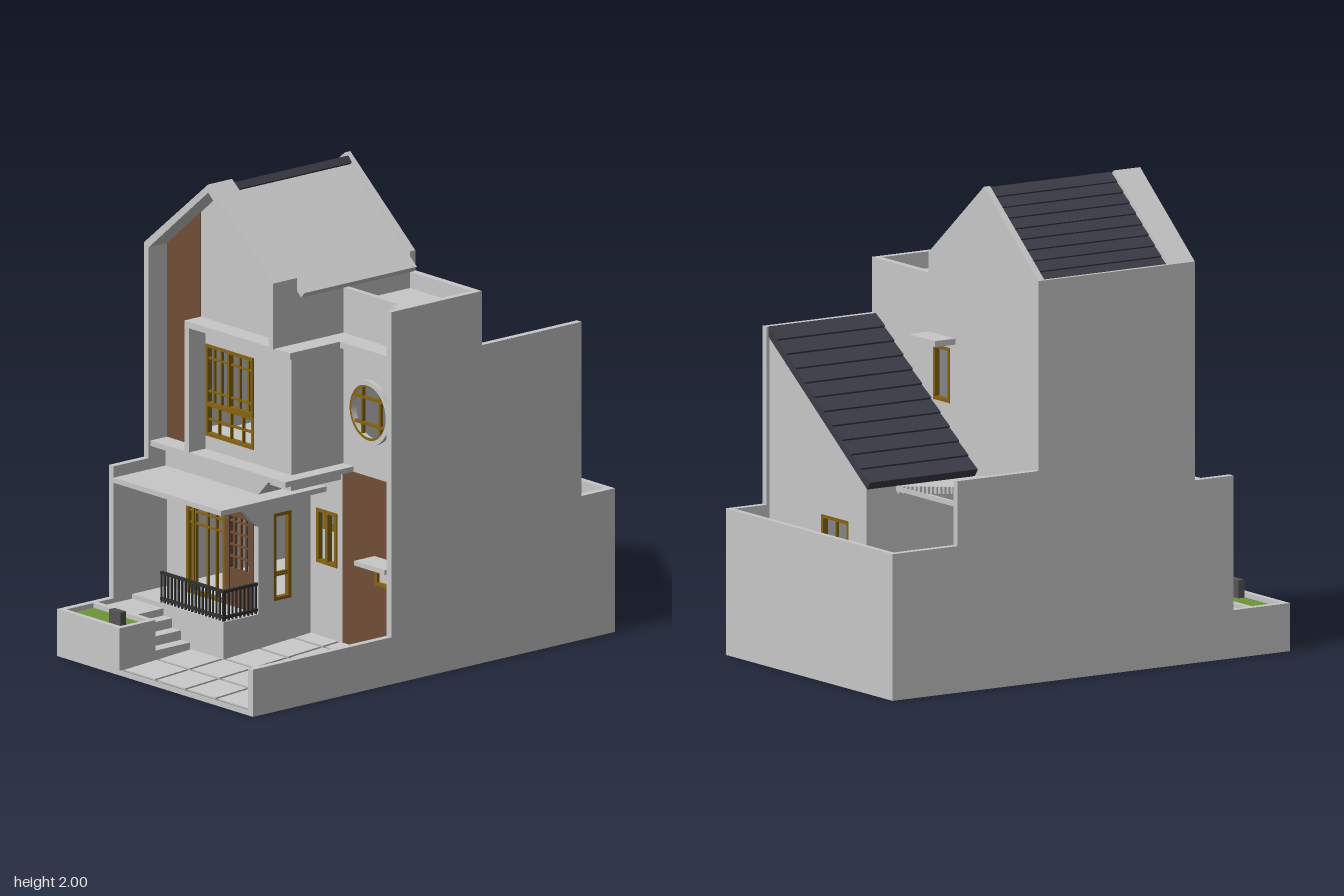
import * as THREE from 'three';

export function createModel() {
  const root = new THREE.Group();
  root.name = 'townHouse';
  const mat = (name, color) => {
    const m = new THREE.MeshStandardMaterial({ color });
    m.name = name;
    return m;
  };
  const wallM = mat('pale grey render', 0xc8c8c8);
  const tileM = mat('dark roof tile', 0x3c3c48);
  const woodM = mat('brown cladding', 0x704e37);
  const goldM = mat('gold window frame', 0x86630f);
  const grassM = mat('grass', 0x6c963b);
  const darkM = mat('dark grey', 0x555555);
  const ironM = mat('black iron', 0x303030);
  const groutM = mat('paving joint', 0x8c8c8c);

  const add = (name, geo, m, parent = root) => {
    const mesh = new THREE.Mesh(geo, m);
    mesh.name = name;
    parent.add(mesh);
    return mesh;
  };
  // Box given by its limits on each axis
  const box = (name, m, x0, x1, y0, y1, z0, z1, parent = root) => {
    const b = add(name, new THREE.BoxGeometry(x1 - x0, y1 - y0, z1 - z0), m, parent);
    b.position.set((x0 + x1) / 2, (y0 + y1) / 2, (z0 + z1) / 2);
    return b;
  };
  const vecs = pts => pts.map(p => new THREE.Vector2(p[0], p[1]));
  const rect = (x0, x1, y0, y1) => vecs([[x0, y0], [x1, y0], [x1, y1], [x0, y1]]);
  // Upright plate in the xy plane, with optional openings
  const plate = (name, m, pts, z0, z1, holes = []) => {
    const s = new THREE.Shape(vecs(pts));
    holes.forEach(h => s.holes.push(new THREE.Path(h)));
    const g = new THREE.ExtrudeGeometry(s, { depth: z1 - z0, bevelEnabled: false });
    g.translate(0, 0, z0);
    return add(name, g, m);
  };
  // Upright plate in the yz plane, points given as [z, y]
  const sidePlate = (name, m, pts, x0, x1, holes = []) => {
    const p = plate(name, m, pts.map(([z, y]) => [-z, y]), 0, x1 - x0, holes);
    p.rotation.y = Math.PI / 2;
    p.position.x = x0;
    return p;
  };
  // Window frame with glazing bars
  const windowGrid = (name, x0, x1, y0, y1, z, xs = [], ys = [], m = goldM, t = 0.014) => {
    const g = new THREE.Group();
    g.name = name;
    root.add(g);
    [x0, x1 - t].forEach(x => box('frameStile', m, x, x + t, y0, y1, z - 0.012, z + 0.012, g));
    [y0, y1 - t].forEach(y => box('frameRail', m, x0, x1, y, y + t, z - 0.012, z + 0.012, g));
    xs.forEach(x => box('verticalBar', m, x - 0.004, x + 0.004, y0, y1, z - 0.006, z + 0.006, g));
    ys.forEach(y => box('horizontalBar', m, x0, x1, y - 0.004, y + 0.004, z - 0.006, z + 0.006, g));
    return g;
  };

  // Ground slab and boundary walls
  box('groundSlab', wallM, -0.61, 0.61, 0, 0.02, -0.98, 0.98);
  sidePlate('leftBoundaryWall', wallM, [[0.98, 0], [0.98, 0.2], [0.23, 0.2], [0.23, 1.58], [-0.26, 1.58],
    [-0.26, 1.35], [-0.8, 1.35], [-0.8, 0.61], [-0.98, 0.61], [-0.98, 0]], 0.58, 0.61);
  sidePlate('rightBoundaryWall', wallM, [[0.98, 0], [0.98, 0.2], [0.7, 0.2], [0.7, 0.76], [0.5, 0.76], [0.5, 1.67],
    [-0.26, 1.67], [-0.26, 0.88], [-0.66, 0.88], [-0.66, 0.61], [-0.98, 0.61], [-0.98, 0]], -0.61, -0.58);
  box('rearBoundaryWall', wallM, -0.58, 0.58, 0, 0.61, -0.98, -0.955);

  // Floors
  box('groundFloor', wallM, -0.58, 0.58, 0.02, 0.07, -0.955, 0.13);
  box('porchPlatform', wallM, -0.58, -0.01, 0.02, 0.2, -0.66, 0.6);
  box('upperFloorRear', wallM, -0.58, 0.58, 0.76, 0.81, -0.26, 0.12);
  box('upperFloorFront', wallM, -0.58, 0.18, 0.76, 0.81, 0.12, 0.4);
  box('atticFloor', wallM, -0.58, 0.18, 1.36, 1.385, -0.26, 0.4);

  // Driveway paving, gently rising to the house
  const drive = new THREE.Group();
  drive.name = 'drivewayPaving';
  drive.position.set(0, 0.02, 0.975);
  drive.rotation.x = 0.058;
  root.add(drive);
  box('pavingBed', groutM, -0.01, 0.58, -0.02, 0.0, -0.845, 0, drive);
  box('pavingBedSide', groutM, -0.215, -0.01, -0.02, 0.0, -0.375, 0, drive);
  const cols = [-0.21, -0.005, 0.182, 0.37, 0.575];
  for (let i = 0; i < 4; i++) for (let j = 0; j < 5; j++) {
    if (i === 0 && j > 1) continue;
    const end = Math.min(0.845, (j + 1) * 0.187);
    box('pavingTile', wallM, cols[i] + 0.008, cols[i + 1] - 0.008, 0, 0.006, -end + 0.008, -j * 0.187 - 0.008, drive);
  }

  // Landing, stairs and planter
  box('stairLanding', wallM, -0.58, -0.385, 0.02, 0.18, 0.6, 0.8);
  [0.15, 0.11, 0.07].forEach((h, i) =>
    box('stairStep', wallM, -0.385 + i * 0.055, -0.33 + i * 0.055, 0.02, h, 0.6, 0.8));
  box('planterBack', wallM, -0.58, -0.22, 0.02, 0.2, 0.785, 0.81);
  box('planterFront', wallM, -0.58, -0.22, 0.02, 0.2, 0.955, 0.98);
  box('planterSide', wallM, -0.245, -0.22, 0.02, 0.2, 0.81, 0.955);
  box('planterGrass', grassM, -0.58, -0.245, 0.02, 0.18, 0.81, 0.955);
  box('letterBox', darkM, -0.32, -0.25, 0.18, 0.255, 0.92, 0.95);

  // Porch railing
  const rail = new THREE.Group();
  rail.name = 'porchRailing';
  root.add(rail);
  [0.21, 0.32].forEach(y => {
    box('railFront', ironM, -0.41, -0.015, y, y + 0.012, 0.585, 0.597, rail);
    box('railSide', ironM, -0.027, -0.015, y, y + 0.012, 0.41, 0.597, rail);
  });
  for (let i = 0; i <= 18; i++) box('baluster', ironM, -0.41 + i * 0.0214, -0.403 + i * 0.0214, 0.2, 0.33, 0.588, 0.595, rail);
  for (let i = 0; i < 9; i++) box('balusterSide', ironM, -0.025, -0.018, 0.2, 0.33, 0.412 + i * 0.021, 0.419 + i * 0.021, rail);

  // Ground storey walls
  const block = (x0, x1, y0, y1) => [[x0, y0], [x1, y0], [x1, y1], [x0, y1]];
  plate('porchWall', wallM, block(-0.58, -0.01, 0.2, 0.81), 0.385, 0.41, [rect(-0.459, -0.041, 0.201, 0.61)]);
  sidePlate('porchReturnWall', wallM, block(0.13, 0.385, 0.02, 0.81), -0.035, -0.01, [rect(-0.33, -0.235, 0.24, 0.61)]);
  plate('entryWall', wallM, block(-0.01, 0.19, 0.02, 0.81), 0.105, 0.13, [rect(0.03, 0.16, 0.38, 0.61)]);
  box('garageCladding', woodM, 0.19, 0.54, 0.07, 0.81, 0.105, 0.13);
  box('gatePillar', wallM, 0.54, 0.58, 0.02, 1.58, 0.1, 0.17);
  box('meterCanopy', wallM, 0.39, 0.58, 0.46, 0.48, 0.13, 0.24);
  box('meterPanel', wallM, 0.42, 0.54, 0.37, 0.45, 0.13, 0.136);
  windowGrid('meterFrame', 0.415, 0.545, 0.365, 0.45, 0.14);
  windowGrid('porchWindow', -0.46, -0.22, 0.2, 0.61, 0.4, [-0.41, -0.335, -0.28], [0.5, 0.55]);
  windowGrid('porchWindowPost', -0.425, -0.41, 0.2, 0.61, 0.4, [], [], goldM, 0.007);
  windowGrid('porchDoor', -0.22, -0.04, 0.2, 0.61, 0.4, [-0.165, -0.13, -0.095], [0.41, 0.46, 0.51, 0.56], woodM, 0.028);
  box('doorLowerPanel', woodM, -0.22, -0.04, 0.2, 0.36, 0.394, 0.406);
  windowGrid('entryWindow', 0.03, 0.16, 0.38, 0.61, 0.122, [0.1], []);
  windowGrid('entryWindowSash', 0.09, 0.16, 0.38, 0.61, 0.125);
  const sideWin = windowGrid('porchSideWindow', -0.33, -0.235, 0.24, 0.61, 0, [], [0.345, 0.355]);
  sideWin.rotation.y = Math.PI / 2;
  sideWin.position.x = -0.02;

  // Porch canopy, ledges and bracket
  box('porchCanopy', wallM, -0.58, 0.09, 0.69, 0.712, 0.13, 0.7);
  box('canopyUpstand', wallM, -0.58, 0.0, 0.712, 0.81, 0.385, 0.42);
  plate('canopyGusset', wallM, [[0, 0.712], [0.09, 0.805], [0, 0.805]], 0.3, 0.42);
  sidePlate('porchBracket', wallM, [[0.41, 0.57], [0.43, 0.58], [0.51, 0.67], [0.61, 0.67], [0.61, 0.69], [0.41, 0.69]], -0.035, -0.01);
  box('porchLamp', darkM, -0.035, -0.012, 0.58, 0.65, 0.41, 0.44);
  box('lowerLedge', wallM, -0.58, 0.26, 0.81, 0.833, 0.13, 0.5);
  box('upperLedge', wallM, -0.37, 0.29, 1.36, 1.387, 0.13, 0.5);
  box('upperLedgeSide', wallM, 0.29, 0.58, 1.36, 1.387, 0.13, 0.23);

  // Upper storey walls
  plate('bayWall', wallM, block(-0.37, 0.195, 0.833, 1.385), 0.385, 0.41, [rect(-0.338, -0.04, 0.89, 1.28)]);
  box('bayFin', wallM, -0.37, -0.34, 0.833, 1.387, 0.41, 0.5);
  box('bayReturnWall', wallM, 0.17, 0.195, 0.81, 1.63, -0.26, 0.385);
  windowGrid('bayWindowLower', -0.34, -0.04, 0.89, 1.03, 0.4, [-0.265, -0.19, -0.115], [0.96]);
  windowGrid('bayWindowUpper', -0.34, -0.04, 1.02, 1.28, 0.4, [-0.295, -0.25, -0.135, -0.08], [1.08, 1.22]);
  windowGrid('bayWindowSash', -0.2, -0.04, 1.03, 1.28, 0.405);

  // Round window in its wall
  const circle = r => new THREE.Path().absarc(0.365, 1.085, r, 0, Math.PI * 2, true).getPoints(40);
  plate('roundWindowWall', wallM, block(0.17, 0.58, 0.81, 1.58), 0.105, 0.13, [circle(0.118)]);
  const ring = (name, m, ro, ri, z0, z1) => plate(name, m, circle(ro).map(p => [p.x, p.y]), z0, z1, [circle(ri)]);
  ring('roundSurround', wallM, 0.137, 0.117, 0.13, 0.15);
  ring('roundFrame', goldM, 0.119, 0.107, 0.11, 0.14);
  [-0.055, 0.055].forEach(d => {
    box('roundVerticalBar', goldM, 0.359 + d, 0.371 + d, 0.985, 1.185, 0.115, 0.13);
    box('roundHorizontalBar', goldM, 0.265, 0.465, 1.079 + d, 1.091 + d, 0.115, 0.13);
  });

  // Gable front, cladding and rear wall
  plate('gableFrame', wallM, [[-0.61, 0.76], [-0.58, 0.76], [-0.58, 1.655], [-0.21, 1.965], [0.165, 1.655], [0.165, 1.385],
    [0.195, 1.385], [0.195, 1.665], [-0.21, 2], [-0.61, 1.67]], 0.38, 0.51);
  plate('gableFace', wallM, [[-0.37, 1.385], [0.165, 1.385], [0.165, 1.655], [-0.21, 1.965], [-0.37, 1.83]], 0.385, 0.41);
  plate('gableCladding', woodM, [[-0.58, 0.833], [-0.37, 0.833], [-0.37, 1.832], [-0.58, 1.656]], 0.385, 0.412);
  plate('rearWall', wallM, [[-0.61, 0.02], [0.58, 0.02], [0.58, 1.58], [0.195, 1.58], [0.195, 1.665], [-0.21, 2], [-0.61, 1.67]],
    -0.26, -0.23, [rect(-0.35, -0.08, 0.37, 0.46), rect(0.04, 0.16, 1.06, 1.29)]);
  windowGrid('rearLowWindow', -0.35, -0.08, 0.37, 0.46, -0.25, [-0.21]);
  windowGrid('rearHighWindow', 0.04, 0.16, 1.06, 1.29, -0.25);
  box('rearWindowCanopy', wallM, 0, 0.19, 1.31, 1.335, -0.36, -0.26);

  // Roof terrace
  box('terraceFloor', wallM, 0.19, 0.58, 1.48, 1.51, -0.23, 0.11);

  // Sloped roof slab between two eave points, with optional tile courses
  const slope = (name, m, x0, y0, x1, y1, z0, z1, courses) => {
    const g = new THREE.Group();
    g.name = name;
    g.position.set(x0, y0, 0);
    g.rotation.z = Math.atan2(y1 - y0, x1 - x0);
    root.add(g);
    const len = Math.hypot(x1 - x0, y1 - y0);
    box('roofSlab', m, 0, len, -0.03, 0, z0, z1, g);
    for (let i = 0; i < courses; i++) {
      const c = box('tileCourse', m, i * len / courses, (i + 1) * len / courses - 0.003, -0.008, 0.006, z0, z1, g);
      c.rotation.z = -0.08;
    }
  };
  slope('mainRoofTiled', tileM, -0.6, 1.655, -0.185, 1.99, -0.23, 0.38, 9);
  slope('mainRoofPlain', wallM, -0.195, 1.97, 0.24, 1.61, -0.23, 0.38, 0);
  slope('rearRoofTiled', tileM, -0.16, 0.81, 0.585, 1.35, -0.79, -0.26, 11);

  // Rear wing beneath the sloped roof
  plate('rearWingWall', wallM, [[-0.13, 0.02], [0.58, 0.02], [0.58, 1.31], [-0.13, 0.795]], -0.785, -0.76, [rect(0, 0.2, 0.42, 0.63)]);
  windowGrid('rearWingWindow', 0, 0.2, 0.42, 0.63, -0.775, [0.1]);
  box('rearWingSide', wallM, -0.13, -0.105, 0.02, 0.79, -0.785, -0.26);

  // Courtyard slats, counters and lawn
  for (let i = 0; i < 14; i++) {
    const x = -0.575 + i * 0.03;
    const y = 0.85 - i * 0.0045;
    box('pergolaSlat', wallM, x, x + 0.016, y - 0.03, y, -0.66, -0.26);
  }
  box('pergolaBeam', wallM, -0.58, -0.16, 0.77, 0.79, -0.66, -0.645);
  box('sideCounter', darkM, -0.2, -0.13, 0.2, 0.5, -0.66, -0.26);
  box('rearCounter', darkM, -0.5, -0.2, 0.2, 0.35, -0.36, -0.26);
  box('rearLawn', grassM, -0.58, 0.58, 0.07, 0.12, -0.955, -0.66);

  return root;
}
